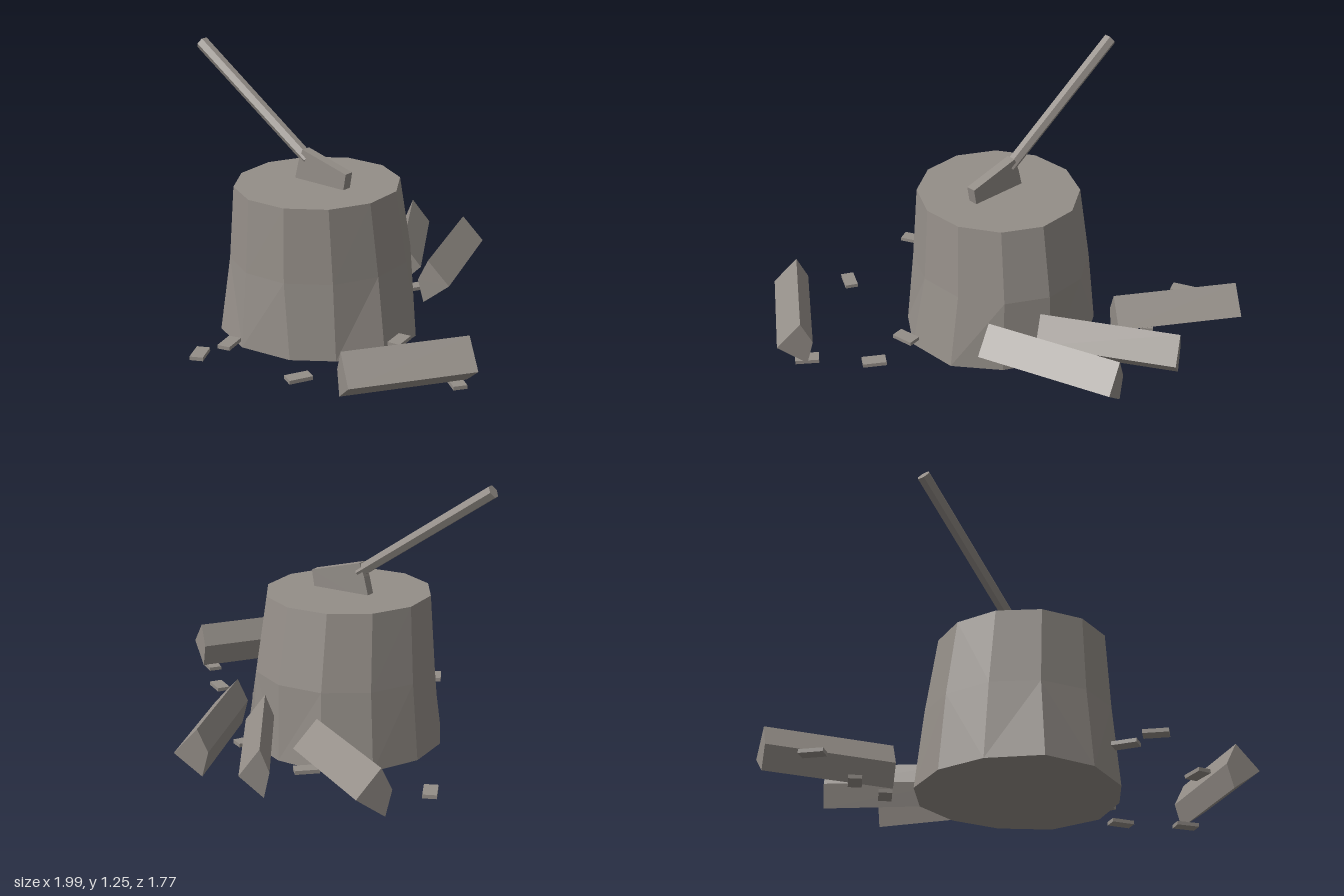
import * as THREE from 'three';

const wood = new THREE.MeshStandardMaterial({ color: 0x948e88, flatShading: true });
wood.name = 'weathered grey';

function add(parent, name, geometry) {
  const mesh = new THREE.Mesh(geometry, wood);
  mesh.name = name;
  parent.add(mesh);
  return mesh;
}

// Twelve-sided stump lofted through three slightly uneven rings
function stumpGeometry() {
  const base = [
    [-0.13, -0.345], [0.09, -0.29], [0.28, -0.14], [0.345, 0.1], [0.26, 0.31], [0.12, 0.46],
    [-0.12, 0.545], [-0.35, 0.5], [-0.51, 0.31], [-0.565, 0.09], [-0.51, -0.14], [-0.35, -0.3],
  ];
  const n = base.length;
  const circle = (cx, cz, rx, rz) => base.map((_, i) => {
    const a = (i / n) * Math.PI * 2;
    return [cx + rx * Math.sin(a), cz - rz * Math.cos(a)];
  });
  const rings = [
    [0, base],
    [0.35, circle(-0.125, 0.088, 0.407, 0.423)],
    [0.69, circle(-0.122, 0.108, 0.372, 0.383)],
  ];
  const pos = [];
  const index = [];
  rings.forEach(([y, ring]) => ring.forEach(([x, z]) => pos.push(x, y, z)));
  pos.push(-0.115, 0, 0.1, -0.122, 0.69, 0.108);
  for (let i = 0; i < n; i++) {
    const j = (i + 1) % n;
    for (let r = 0; r < 2; r++) {
      const a = r * n + i, b = r * n + j, c = a + n, d = b + n;
      // alternate the diagonals for a faceted bark
      if (i % 2) index.push(a, c, b, b, c, d);
      else index.push(a, c, d, a, d, b);
    }
    index.push(3 * n, i, j, 3 * n + 1, 2 * n + j, 2 * n + i);
  }
  const g = new THREE.BufferGeometry();
  g.setAttribute('position', new THREE.Float32BufferAttribute(pos, 3));
  g.setIndex(index);
  const flat = g.toNonIndexed();
  flat.computeVertexNormals();
  return flat;
}

function extrude(points, depth) {
  const shape = new THREE.Shape(points.map(([x, y]) => new THREE.Vector2(x, y)));
  return new THREE.ExtrudeGeometry(shape, { depth, bevelEnabled: false });
}

// Axe: wedge head sunk in the stump, six-sided handle leaning up and back
function createAxe() {
  const axe = new THREE.Group();
  axe.name = 'axe';
  axe.position.set(-0.2, 0, 0.118);
  axe.rotation.y = 0.21;
  const head = extrude([[-0.05, 0.65], [0.235, 0.65], [0.255, 0.765], [0.005, 0.832], [-0.02, 0.77]], 0.046);
  head.translate(0, 0, -0.023);
  add(axe, 'axeHead', head);

  const low = new THREE.Vector3(0.02, 0.785, 0);
  const high = new THREE.Vector3(-0.625, 1.228, 0);
  const dir = high.clone().sub(low);
  const handle = add(axe, 'axeHandle', new THREE.CylinderGeometry(0.031, 0.029, dir.length(), 6));
  handle.position.copy(low).add(high).multiplyScalar(0.5);
  handle.quaternion.setFromUnitVectors(new THREE.Vector3(0, 1, 0), dir.normalize());
  return axe;
}

// Split log: bark edge runs from (x1, z1) to (x2, z2)
function addLog(parent, x1, z1, x2, z2, width) {
  const k = width / 0.16;
  const section = [[0, 0.195], [0.03 * k, 0.085], [0.16 * k, 0.18], [0.05 * k, 0.295]];
  const log = add(parent, 'splitLog', extrude(section, Math.hypot(x2 - x1, z2 - z1)));
  log.position.set(x1, 0, z1);
  log.rotation.y = Math.atan2(x2 - x1, z2 - z1);
}

export function createModel() {
  const model = new THREE.Group();
  model.name = 'choppingBlock';
  add(model, 'stump', stumpGeometry());
  model.add(createAxe());

  const logs = new THREE.Group();
  logs.name = 'splitLogs';
  model.add(logs);
  addLog(logs, 0.85, 0.096, 0.636, 0.604, 0.16);
  addLog(logs, -0.198, -0.813, 0.135, -0.278, 0.15);
  addLog(logs, -0.53, -0.78, -0.09, -0.33, 0.125);
  addLog(logs, -0.99, -0.556, -0.444, -0.358, 0.16);

  // Wood chips: centre x, z and long direction x, z
  const chips = new THREE.Group();
  chips.name = 'woodChips';
  model.add(chips);
  [
    [-0.94, -0.265, 12, 16], [-0.62, -0.41, 10, -14], [-0.42, -0.46, 10, -14],
    [-0.01, -0.42, 5, -18], [0.61, -0.025, 19, 7], [0.4, 0.065, 7, 18],
    [0.41, 0.63, -5, 20], [-0.053, 0.66, 9, 18], [-0.045, 0.82, 12, 15], [0.86, 0.15, 20, 9],
  ].forEach(([x, z, dx, dz]) => {
    const chip = add(chips, 'woodChip', new THREE.BoxGeometry(0.107, 0.017, 0.06));
    chip.position.set(x, 0.079, z);
    chip.rotation.y = Math.atan2(-dz, dx);
  });
  return model;
}
